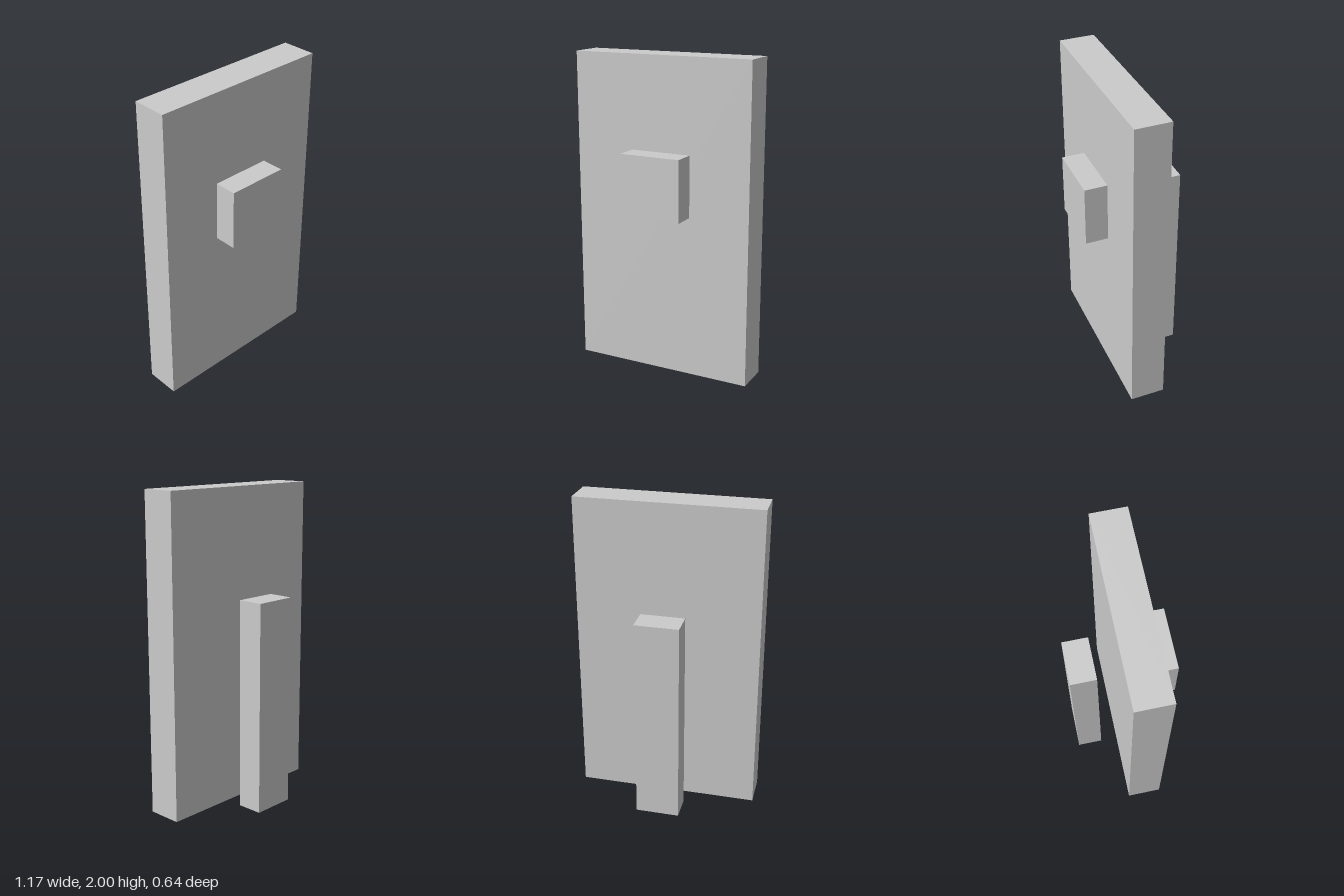
import * as THREE from 'three';

export function createModel() {
  const group = new THREE.Group();
  const material = new THREE.MeshStandardMaterial({ color: 0xcccccc, flatShading: true });

  // Box given by its [min, max] extent along each axis
  const addBox = (name, x, y, z) => {
    const geometry = new THREE.BoxGeometry(x[1] - x[0], y[1] - y[0], z[1] - z[0]);
    const mesh = new THREE.Mesh(geometry, material);
    mesh.position.set((x[0] + x[1]) / 2, (y[0] + y[1]) / 2, (z[0] + z[1]) / 2);
    mesh.name = name;
    group.add(mesh);
  };

  // Upright slab
  addBox('panel', [-0.583, 0.583], [0, 2], [-0.043, 0.178]);
  // Raised block on the front face
  addBox('frontBlock', [-0.197, 0.194], [1.031, 1.417], [0.178, 0.321]);
  // Free-standing post behind the slab
  addBox('rearPost', [-0.139, 0.139], [0, 1.333], [-0.321, -0.156]);

  return group;
}
